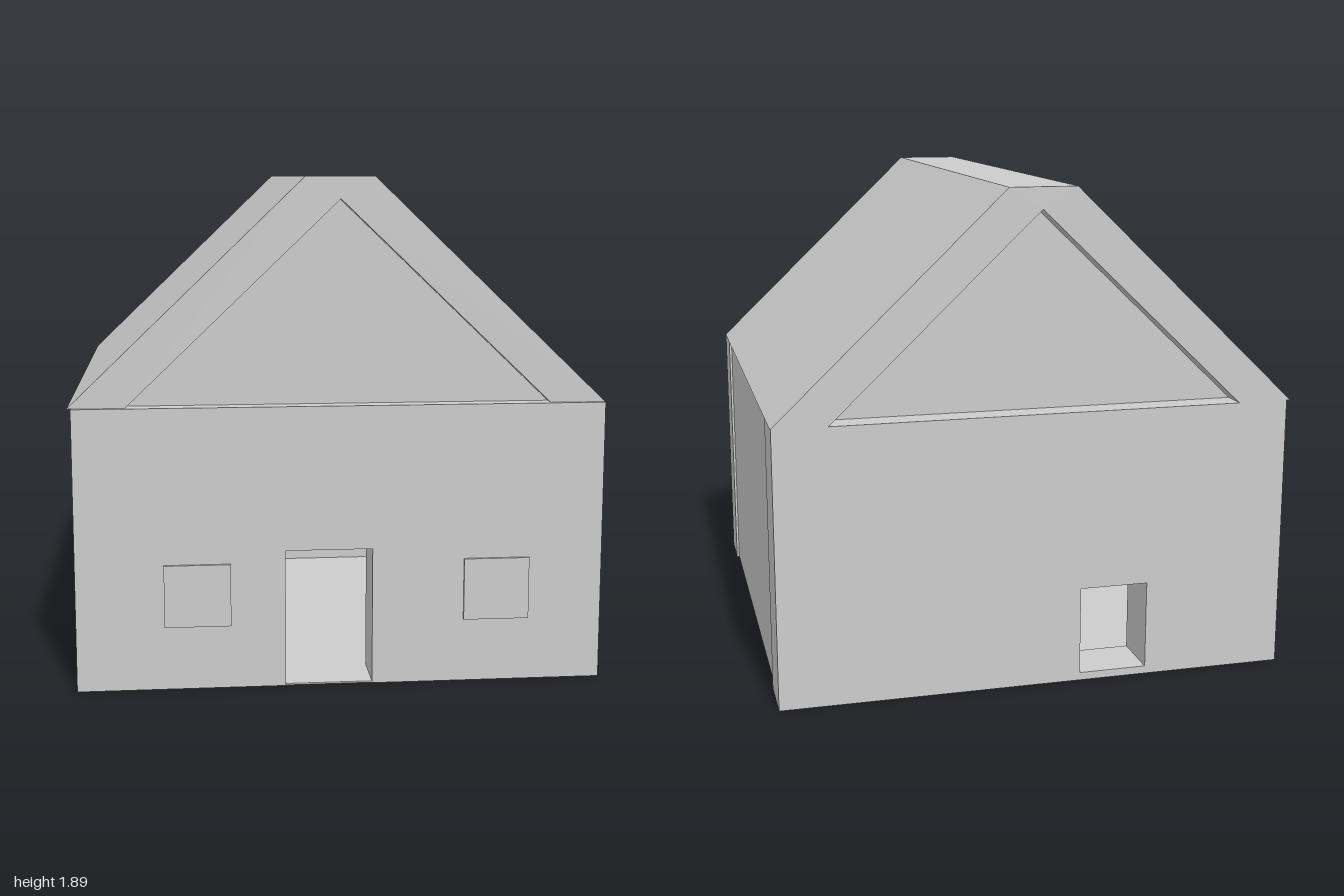
import * as THREE from 'three';

const grey = new THREE.MeshStandardMaterial({ color: 0xcccccc, flatShading: true });
const pale = new THREE.MeshStandardMaterial({ color: 0xf0f0f0, flatShading: true });

const outline = (points) => new THREE.Shape(points.map(([x, y]) => new THREE.Vector2(x, y)));

export function createModel() {
  const house = new THREE.Group();
  house.name = 'house';

  const add = (name, geometry, material = grey) => {
    const mesh = new THREE.Mesh(geometry, material);
    mesh.name = name;
    house.add(mesh);
  };

  // Box given by its lower and upper corners
  const box = (name, [x0, y0, z0], [x1, y1, z1], material) => {
    const geometry = new THREE.BoxGeometry(x1 - x0, y1 - y0, z1 - z0);
    geometry.translate((x0 + x1) / 2, (y0 + y1) / 2, (z0 + z1) / 2);
    add(name, geometry, material);
  };

  // Upright slab with a given outline, running from z0 to z1
  const slab = (name, shape, z0, z1) => {
    const geometry = new THREE.ExtrudeGeometry(shape, { depth: z1 - z0, bevelEnabled: false });
    add(name, geometry.translate(0, 0, z0));
  };

  const left = -0.98, right = 0.99, eaves = 1.06;

  // Floor
  box('floor', [left + 0.01, 0, -0.99], [right - 0.015, 0.006, 0.985]);

  // Front wall with the tall doorway
  slab('frontWall', outline([
    [left, 0], [-0.205, 0], [-0.205, 0.52], [0.12, 0.52], [0.12, 0],
    [right, 0], [right, eaves], [left, eaves],
  ]), 0.79, 0.99);

  // Back wall with the small raised doorway
  const backWall = outline([[left, 0], [right, 0], [right, eaves], [left, eaves]]);
  backWall.holes.push(outline([[-0.43, 0.03], [-0.43, 0.37], [-0.165, 0.37], [-0.165, 0.03]]));
  slab('backWall', backWall, -1, -0.79);

  // Side walls, the one on +x set back slightly
  box('rightSideWall', [0.78, 0, -0.79], [0.98, eaves - 0.003, 0.79]);
  box('leftSideWall', [left, 0, -0.79], [-0.78, eaves - 0.003, 0.79]);

  // Roof with a flat ridge and a triangular hollow
  slab('roof', outline([
    [-0.995, eaves], [-0.785, eaves], [0, 1.81], [0.785, eaves],
    [0.992, eaves], [0.125, 1.89], [-0.13, 1.89],
  ]), -1, 0.975);

  // Recessed gable panels
  const gable = outline([[-0.785, eaves], [0.785, eaves], [0, 1.81]]);
  slab('frontGable', gable, 0.82, 0.925);
  slab('backGable', gable, -0.9, -0.8);

  // Window panes
  for (const x of [-0.655, 0.465]) {
    box('windowPane', [x, 0.24, 0.98], [x + 0.247, 0.475, 1], pale);
  }

  return house;
}
